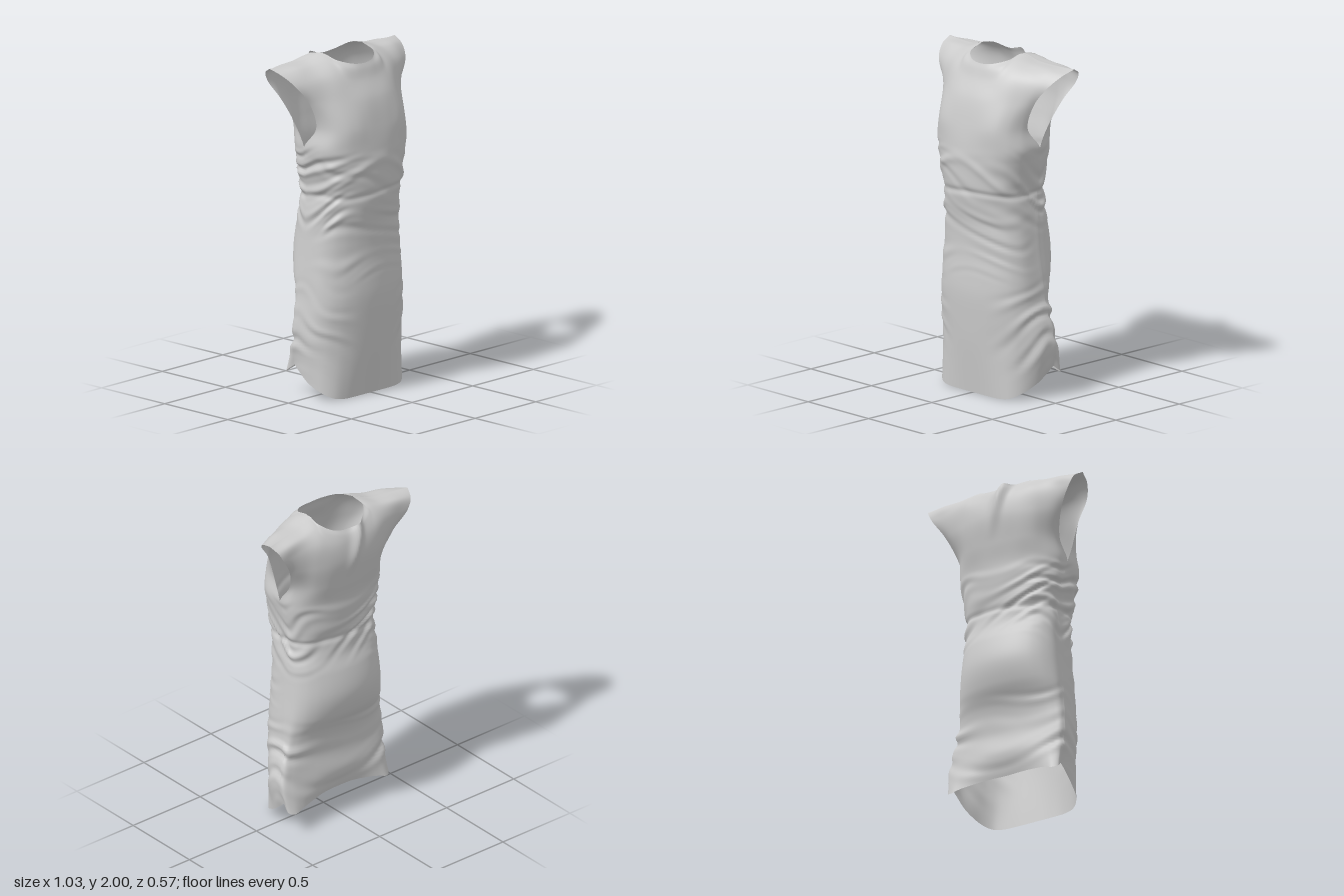
import * as THREE from 'three';
import { mergeVertices } from 'three/addons/utils/BufferGeometryUtils.js';

const V = (x, y, z) => new THREE.Vector3(x, y, z);
const NU = 96, STEP = 10; // samples across a panel, samples between two rows

// Body sections: height, half width, front z, back z, side seam z
const sections = [
  [0.30, 0.362, 0.213, -0.165, -0.09], [0.45, 0.362, 0.226, -0.15, -0.08],
  [0.60, 0.345, 0.235, -0.175, -0.06], [0.72, 0.335, 0.23, -0.235, -0.05],
  [0.85, 0.322, 0.223, -0.262, -0.04], [1.00, 0.31, 0.226, -0.24, -0.04],
  [1.10, 0.305, 0.245, -0.205, -0.05], [1.20, 0.3, 0.26, -0.195, -0.05],
  [1.30, 0.312, 0.268, -0.21, -0.04], [1.40, 0.33, 0.272, -0.222, -0.03],
  [1.48, 0.345, 0.268, -0.225, -0.025],
];

// Shaped rows, from the centre to the edge: x list, y list, z list
const frontHem = [[0, 0.1, 0.2, 0.275, 0.325, 0.348, 0.345], [0, 0, 0, 0.01, 0.04, 0.09, 0.18], [0.175, 0.175, 0.17, 0.15, 0.1, 0.01, -0.1]];
const backHem = [[0, 0.1, 0.2, 0.28, 0.33, 0.36, 0.345], [0.17, 0.17, 0.16, 0.145, 0.13, 0.14, 0.18], [-0.13, -0.135, -0.15, -0.165, -0.17, -0.15, -0.1]];
const frontTop = [
  [[0, 0.09, 0.17, 0.235, 0.285, 0.315, 0.325], Array(7).fill(1.6), [0.25, 0.248, 0.238, 0.212, 0.165, 0.1, 0.052]],
  [[0, 0.09, 0.17, 0.24, 0.3, 0.345, 0.372], Array(7).fill(1.75), [0.212, 0.208, 0.19, 0.16, 0.118, 0.08, 0.048]],
  [[0, 0.085, 0.155, 0.22, 0.31, 0.395, 0.45], [1.86, 1.86, 1.87, 1.895, 1.89, 1.875, 1.86], [0.155, 0.15, 0.135, 0.103, 0.063, 0.035, 0.015]],
  [[0, 0.08, 0.155, 0.192, 0.29, 0.4, 0.495], [1.915, 1.92, 1.938, 1.968, 1.952, 1.945, 1.925], [0.133, 0.126, 0.095, 0.025, -0.01, -0.03, -0.055]],
  [[0, 0.08, 0.152, 0.17, 0.27, 0.4, 0.515], [1.94, 1.948, 1.972, 1.998, 1.968, 1.96, 1.957], [0.12, 0.107, 0.045, -0.06, -0.09, -0.11, -0.135]],
];
const backTop = [
  [[0, 0.09, 0.17, 0.235, 0.285, 0.32, 0.338], Array(7).fill(1.6), [-0.25, -0.245, -0.235, -0.21, -0.17, -0.13, -0.1]],
  [[0, 0.09, 0.17, 0.24, 0.3, 0.355, 0.39], Array(7).fill(1.75), [-0.272, -0.27, -0.26, -0.24, -0.213, -0.188, -0.165]],
  [[0, 0.09, 0.16, 0.22, 0.31, 0.395, 0.46], [1.85, 1.855, 1.87, 1.89, 1.885, 1.87, 1.86], [-0.263, -0.26, -0.25, -0.235, -0.212, -0.2, -0.2]],
  [[0, 0.1, 0.175, 0.2, 0.29, 0.4, 0.492], [1.9, 1.915, 1.95, 1.965, 1.95, 1.94, 1.92], [-0.25, -0.235, -0.2, -0.175, -0.178, -0.185, -0.19]],
  [[0, 0.1, 0.168, 0.17, 0.27, 0.4, 0.515], [1.93, 1.942, 1.982, 1.998, 1.968, 1.96, 1.957], [-0.232, -0.215, -0.15, -0.06, -0.09, -0.11, -0.135]],
];
const ROWS = 1 + sections.length + frontTop.length;
const NV = (ROWS - 1) * STEP;
const ARMPIT = sections.length * STEP;

// A half row mirrored into a smooth curve from -x to +x
function rowCurve([xs, ys, zs]) {
  const half = xs.map((x, i) => V(x, ys[i], zs[i]));
  const mirror = half.slice(1).reverse().map(p => V(-p.x, p.y, p.z));
  return new THREE.CatmullRomCurve3([...mirror, ...half]);
}

function sectionRow([y, w, zf, zb, zs], front) {
  const angles = [0, 1, 2, 3, 4, 5, 6].map(i => i * Math.PI / 12);
  const depth = (front ? zf : zb) - zs;
  const power = front ? 0.6 : 0.75;
  return [
    angles.map(a => w * Math.sin(a)), angles.map(() => y),
    angles.map(a => zs + depth * Math.pow(Math.max(0, Math.cos(a)), power)),
  ];
}

// Grid of points for the front or back panel
function panel(front) {
  const rows = [front ? frontHem : backHem, ...sections.map(s => sectionRow(s, front)), ...(front ? frontTop : backTop)];
  const samples = rows.map(r => rowCurve(r).getPoints(NU));
  const columns = [];
  for (let i = 0; i <= NU; i++) {
    columns.push(new THREE.CatmullRomCurve3(samples.map(s => s[i])).getPoints(NV));
  }
  return columns;
}

const smooth = THREE.MathUtils.smoothstep;
const bell = (t, w) => Math.exp(-(t * t) / (w * w));
const band = (y, a, b, soft) => smooth(y, a - soft, a + soft) * (1 - smooth(y, b - soft, b + soft));
const fold = t => Math.sin(t) + 0.4 * Math.sin(1.7 * t + 1);

// Height of the cloth folds: ruched side seams, gathered waist, soft hip ripples
function wrinkle({ x, y, z }) {
  const T = Math.PI * 2;
  const side = smooth(Math.abs(x), 0.1, 0.35);
  const front = smooth(z, -0.05, 0.2), back = smooth(-z, 0.04, 0.2);
  const d = Math.sqrt((z + 0.06) ** 2 + 0.001);
  const warp = 0.04 * Math.sin(7 * x + 6 * y) + 0.025 * Math.sin(17 * z - 9 * y + 5 * x);
  const patch = 0.55 + 0.45 * Math.sin(9 * x + 11 * y + 2) * Math.sin(6 * z - 8 * y + 4 * x + 1);
  let h = 0;
  h += 0.009 * side * band(y, 1.02, 1.44, 0.08) * fold(T * (y - 0.8 * d + warp) / 0.1);
  h += 0.009 * (side * (1 - 0.5 * front) + 0.4 * back) * band(y, 0.2, 0.62, 0.12) * fold(T * (y + 0.8 * d + warp) / 0.13);
  h += 0.004 * front * band(y, 0.74, 1.1, 0.08) * fold(T * (y + 0.4 * x * x + warp) / 0.1);
  h += 0.007 * back * band(y, 1.08, 1.42, 0.08) * fold(T * (y + 0.4 * x + 1.5 * warp) / 0.12);
  h += 0.004 * front * band(y, 1.16, 1.42, 0.06) * fold(T * (y + 0.3 * x + 1.5 * warp) / 0.13);
  h *= patch;
  // Waist crease and the arched fold above it
  h -= 0.009 * bell(y - 1.2 - 0.3 * warp, 0.018);
  h += 0.009 * front * bell(y - 1.4 + 2.2 * (x + 0.02) ** 2, 0.03);
  // Pinch under the back neckline
  h += 0.035 * bell(x + 0.05 - 0.25 * (1.93 - y), 0.035) * smooth(y, 1.6, 1.92) * smooth(-z, 0.1, 0.2);
  return h;
}

function dressGeometry() {
  const front = panel(true), back = panel(false);
  // Close the side seams up to the armpit
  for (const i of [0, NU]) for (let j = 0; j <= ARMPIT; j++) back[i][j].copy(front[i][j]);

  const pos = [], index = [];
  [front, back].forEach((cols, k) => {
    const base = pos.length / 3;
    cols.forEach(c => c.forEach(p => pos.push(p.x, p.y, p.z)));
    for (let i = 0; i < NU; i++) for (let j = 0; j < NV; j++) {
      const a = base + i * (NV + 1) + j, b = a + NV + 1;
      if (k === 0) index.push(a, b, b + 1, a, b + 1, a + 1);
      else index.push(a, b + 1, b, a, a + 1, b + 1);
    }
  });
  let geo = new THREE.BufferGeometry();
  geo.setAttribute('position', new THREE.Float32BufferAttribute(pos, 3));
  geo.setIndex(index);
  geo = mergeVertices(geo, 1e-5);
  geo.computeVertexNormals();

  // Push the cloth along its normals, and flare the left side near the hem
  const P = geo.attributes.position, N = geo.attributes.normal;
  const p = V(0, 0, 0), n = V(0, 0, 0);
  for (let i = 0; i < P.count; i++) {
    p.fromBufferAttribute(P, i);
    n.fromBufferAttribute(N, i);
    const flare = 0.045 * bell(p.y - 0.27, 0.16) * smooth(p.x, 0.2, 0.36) * (1 - smooth(p.z, -0.02, 0.12));
    p.addScaledVector(n, wrinkle(p));
    p.x += flare;
    P.setXYZ(i, p.x, Math.max(0, p.y), p.z);
  }
  geo.computeVertexNormals();
  return geo;
}

export function createModel() {
  const group = new THREE.Group();
  group.name = 'sleevelessDress';
  const cloth = new THREE.MeshStandardMaterial({ color: 0xcccccc, side: THREE.DoubleSide });
  const dress = new THREE.Mesh(dressGeometry(), cloth);
  dress.name = 'dressCloth';
  group.add(dress);
  return group;
}
